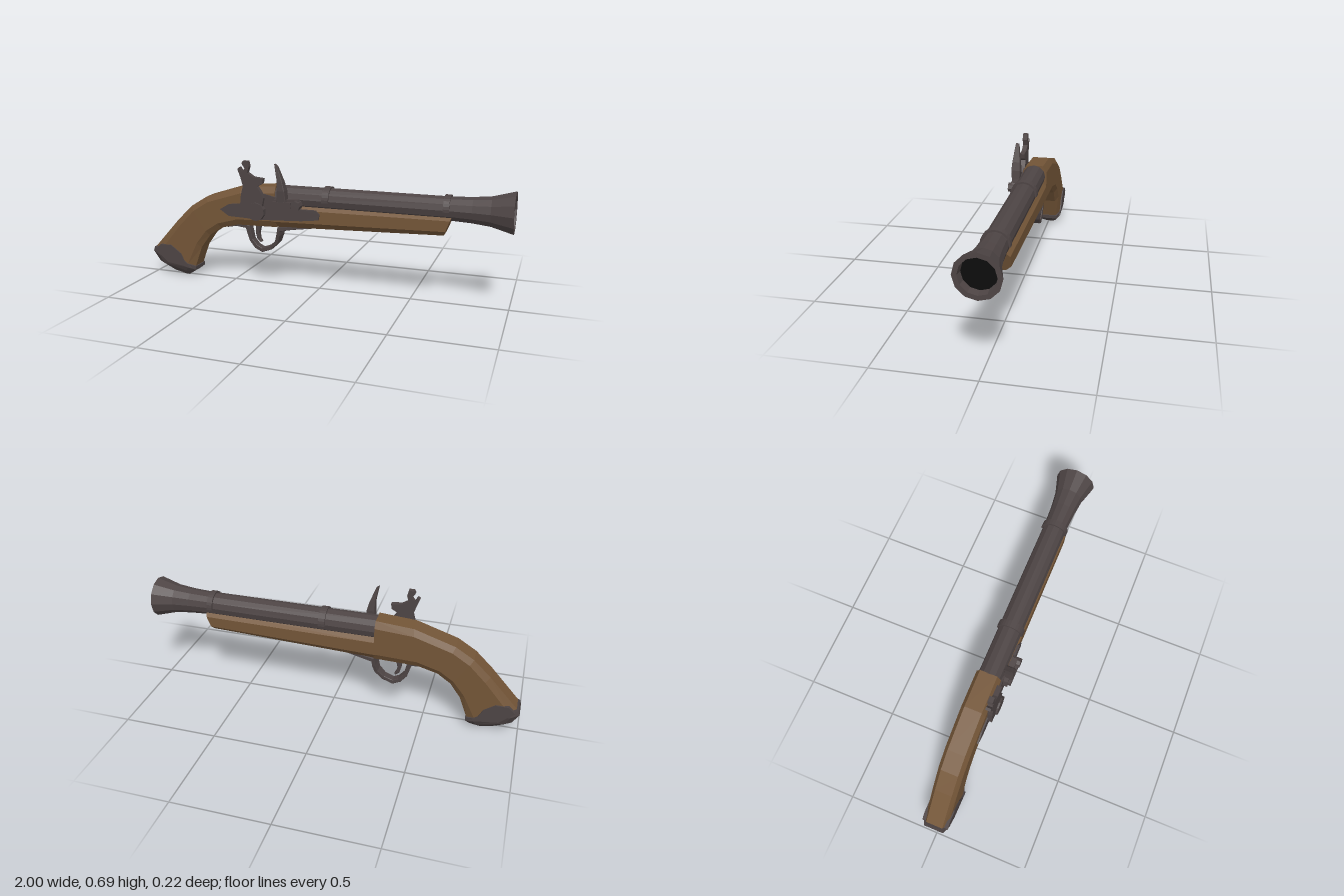
import * as THREE from 'three';

const wood = new THREE.MeshStandardMaterial({ name: 'walnut', color: 0x735537, flatShading: true });
const metal = new THREE.MeshStandardMaterial({ name: 'dark steel', color: 0x4d4444, flatShading: true });
const black = new THREE.MeshStandardMaterial({ name: 'bore black', color: 0x0c0c0c, flatShading: true });

const ZC = -0.008; // centre plane of stock

// Loft of chamfered sections. Each section is [Tx, Ty, Bx, By, halfWidth];
// T lies to the left of the direction of travel, B to the right.
function loft(sections, cu, cz, zc = ZC) {
  const pos = [], idx = [], n = 8;
  for (const [tx, ty, bx, by, w] of sections) {
    const i = w * (1 - cz);
    const ring = [[0, i], [cu, w], [1 - cu, w], [1, i], [1, -i], [1 - cu, -w], [cu, -w], [0, -i]];
    for (const [u, z] of ring) pos.push(tx + (bx - tx) * u, ty + (by - ty) * u, zc + z);
  }
  const last = (sections.length - 1) * n;
  for (let s = 0; s < last; s += n) {
    for (let j = 0; j < n; j++) {
      const k = (j + 1) % n;
      idx.push(s + j, s + k, s + n + k, s + j, s + n + k, s + n + j);
    }
  }
  for (let j = 1; j < n - 1; j++) idx.push(0, j + 1, j, last, last + j, last + j + 1);
  const g = new THREE.BufferGeometry();
  g.setAttribute('position', new THREE.Float32BufferAttribute(pos, 3));
  g.setIndex(idx);
  g.computeVertexNormals();
  return g;
}

// Flat outline in the side plane, extruded from z0 to z1
function plate(points, z0, z1) {
  const shape = new THREE.Shape(points.map(([x, y]) => new THREE.Vector2(x, y)));
  return new THREE.ExtrudeGeometry(shape, { depth: z1 - z0, bevelEnabled: false }).translate(0, 0, z0);
}

// Disc facing the front
function disc(r, x, y, z0, z1, sides = 10) {
  return new THREE.CylinderGeometry(r, r, z1 - z0, sides).rotateX(Math.PI / 2).translate(x, y, (z0 + z1) / 2);
}

export function createModel() {
  const model = new THREE.Group();
  const add = (name, geometry, material) => {
    const mesh = new THREE.Mesh(geometry, material);
    mesh.name = name;
    model.add(mesh);
  };

  // Wooden stock: curved grip and straight fore-end
  add('grip', loft([
    [-0.98, 0.165, -0.735, 0.06, 0.064],
    [-0.83, 0.33, -0.69, 0.18, 0.065],
    [-0.74, 0.417, -0.634, 0.257, 0.066],
    [-0.645, 0.476, -0.564, 0.305, 0.066],
    [-0.43, 0.545, -0.46, 0.332, 0.066],
    [-0.233, 0.56, -0.23, 0.337, 0.066],
  ], 0.16, 0.3), wood);
  add('foreEnd', loft([
    [-0.24, 0.475, -0.24, 0.337, 0.066],
    [0.705, 0.475, 0.665, 0.368, 0.066],
  ], 0.24, 0.42), wood);

  // Butt cap with side ears
  add('buttCap', loft([
    [-0.89, 0.026, -0.79, 0.004, 0.028],
    [-0.965, 0.075, -0.755, 0.026, 0.056],
    [-0.998, 0.135, -0.73, 0.045, 0.071],
    [-0.99, 0.16, -0.728, 0.065, 0.071],
  ], 0.16, 0.25), metal);
  add('buttCapEars', plate([[-0.975, 0.15], [-0.94, 0.182], [-0.875, 0.182], [-0.815, 0.139],
    [-0.794, 0.096], [-0.75, 0.06], [-0.9, 0.08]], ZC - 0.071, ZC + 0.071), metal);

  // Barrel with flared muzzle
  const profile = [[0.001, -0.235], [0.062, -0.235], [0.062, 0.7], [0.067, 0.8], [0.077, 0.89],
    [0.108, 1], [0.085, 1], [0.08, 0.96]].map(([r, x]) => new THREE.Vector2(r, x));
  add('barrel', new THREE.LatheGeometry(profile, 12).rotateZ(-Math.PI / 2).translate(0, 0.5, -0.005), metal);
  add('bore', new THREE.CircleGeometry(0.081, 12).rotateY(Math.PI / 2).translate(0.961, 0.5, -0.005), black);

  // Half-round bands over the barrel
  for (const [x, w] of [[0.049, 0.036], [0.675, 0.03]]) {
    const arc = new THREE.Shape();
    arc.absarc(0, 0, 0.07, -0.1, Math.PI + 0.1, false);
    arc.absarc(0, 0, 0.055, Math.PI + 0.1, -0.1, true);
    add('barrelBand', new THREE.ExtrudeGeometry(arc, { depth: w, bevelEnabled: false, curveSegments: 8 })
      .translate(0, 0, -w / 2).rotateY(Math.PI / 2).translate(x, 0.5, -0.005), metal);
  }

  // Lock plate
  add('lockPlate', plate([[-0.553, 0.417], [-0.5, 0.449], [-0.41, 0.46], [-0.3, 0.522], [-0.2, 0.5],
    [-0.13, 0.45], [0, 0.45], [0.022, 0.43], [0.015, 0.4], [-0.08, 0.388], [-0.3, 0.377], [-0.5, 0.383]],
    0.04, 0.066), metal);

  // Hammer
  add('hammer', plate([[-0.425, 0.42], [-0.415, 0.51], [-0.402, 0.56], [-0.415, 0.605], [-0.432, 0.65],
    [-0.42, 0.66], [-0.405, 0.635], [-0.39, 0.655], [-0.407, 0.68], [-0.4, 0.694], [-0.372, 0.694],
    [-0.365, 0.665], [-0.375, 0.632], [-0.34, 0.61], [-0.285, 0.605], [-0.29, 0.578], [-0.322, 0.56],
    [-0.3, 0.53], [-0.285, 0.5], [-0.295, 0.45], [-0.33, 0.4]], 0.06, 0.086), metal);
  add('hammerPivot', disc(0.05, -0.33, 0.425, 0.06, 0.095), metal);

  // Frizzen and pan
  add('frizzen', loft([
    [-0.205, 0.48, -0.15, 0.48, 0.02],
    [-0.2, 0.55, -0.158, 0.55, 0.025],
    [-0.2, 0.6, -0.17, 0.595, 0.021],
    [-0.217, 0.688, -0.2, 0.675, 0.01],
  ], 0.1, 0.1, 0.083), metal);
  add('pan', plate([[-0.235, 0.455], [-0.225, 0.5], [-0.09, 0.505], [-0.075, 0.475], [-0.1, 0.45]], 0.06, 0.09), metal);
  add('panSpring', new THREE.BoxGeometry(0.1, 0.03, 0.03).translate(-0.175, 0.475, 0.09), metal);
  add('panScrew', disc(0.026, -0.098, 0.475, 0.06, 0.109, 8), metal);

  // Trigger guard strap and trigger
  add('triggerGuard', loft([
    [-0.03, 0.338, -0.03, 0.35, 0.015],
    [-0.15, 0.325, -0.15, 0.345, 0.04],
    [-0.218, 0.312, -0.228, 0.335, 0.046],
    [-0.219, 0.285, -0.239, 0.285, 0.04],
    [-0.232, 0.242, -0.25, 0.252, 0.03],
    [-0.275, 0.2, -0.283, 0.22, 0.023],
    [-0.33, 0.18, -0.33, 0.203, 0.022],
    [-0.372, 0.2, -0.358, 0.217, 0.022],
    [-0.404, 0.24, -0.386, 0.25, 0.022],
    [-0.425, 0.31, -0.402, 0.325, 0.024],
    [-0.48, 0.318, -0.47, 0.34, 0.03],
    [-0.54, 0.303, -0.53, 0.32, 0.012],
  ], 0.1, 0.1), metal);
  add('trigger', loft([
    [-0.335, 0.35, -0.37, 0.35, 0.014],
    [-0.35, 0.285, -0.37, 0.285, 0.013],
    [-0.345, 0.255, -0.362, 0.25, 0.012],
    [-0.335, 0.24, -0.342, 0.232, 0.01],
  ], 0.15, 0.2), metal);

  return model;
}
